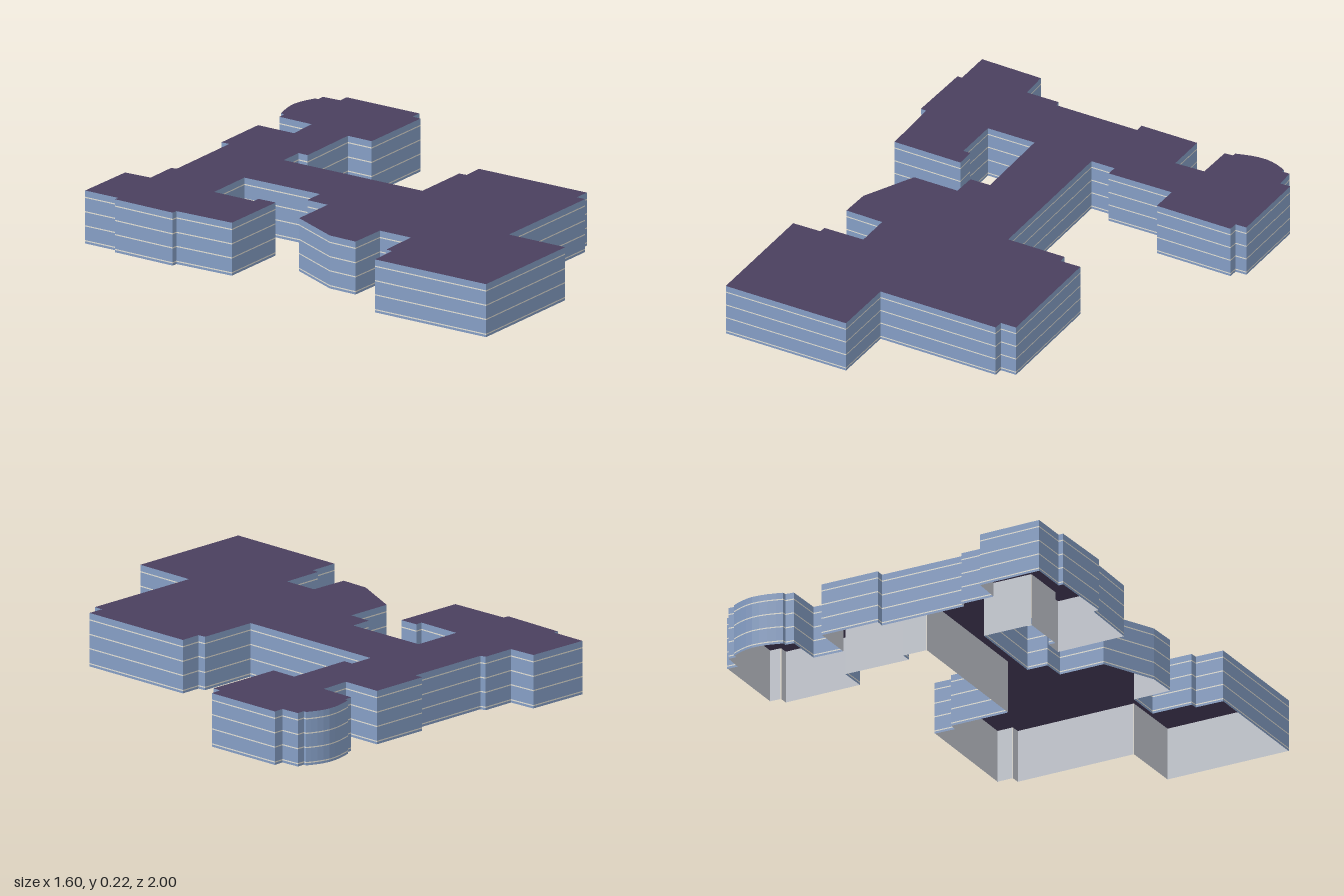
import * as THREE from 'three';

const HEIGHT = 0.225;

// Footprint corners as [x, z], clockwise seen from above
const bay = new THREE.SplineCurve([
  [0.451, -0.966], [0.514, -0.989], [0.578, -1], [0.636, -0.991], [0.681, -0.974],
].map(([x, z]) => new THREE.Vector2(x, z))).getPoints(8).map(p => [p.x, p.y]);

const outline = [
  // back side
  [-0.788, -0.984], [-0.513, -0.998], [-0.499, -0.878], [-0.354, -0.889], [-0.347, -0.865],
  [0.025, -0.892], [0.021, -0.929], [0.279, -0.947], [0.291, -0.772], [0.422, -0.786],
  [0.414, -0.944], [0.451, -0.95], ...bay, [0.681, -0.96], [0.716, -0.963],
  // left wing and link
  [0.726, -0.881], [0.771, -0.886], [0.797, -0.532], [0.748, -0.527], [0.75, -0.488],
  [0.408, -0.466], [0.401, -0.583], [0.112, -0.559], [0.11, -0.604], [0.004, -0.596],
  // front block
  [0.054, 0.077], [0.314, 0.059], [0.319, 0.093], [0.409, 0.085], [0.449, 0.607],
  [0.379, 0.612], [0.381, 0.652], [-0.153, 0.687], [-0.135, 0.962], [-0.692, 1],
  [-0.73, 0.459], [-0.606, 0.448], [-0.606, 0.418], [-0.428, 0.403], [-0.439, 0.252],
  [-0.606, 0.26], [-0.611, 0.132], [-0.52, -0.098], [-0.319, -0.112], [-0.324, -0.212],
  // right wing
  [-0.234, -0.22], [-0.264, -0.584], [-0.479, -0.568], [-0.466, -0.372], [-0.435, -0.375],
  [-0.427, -0.293], [-0.733, -0.274], [-0.759, -0.538], [-0.784, -0.538], [-0.798, -0.823],
  [-0.777, -0.823],
];

// Upright faces along the footprint between two heights; an inset turns them inward
function wallBand(y0, y1, inset = 0) {
  const pos = [];
  outline.forEach((p, i) => {
    const q = outline[(i + 1) % outline.length];
    const k = inset / Math.hypot(q[0] - p[0], q[1] - p[1]);
    const dx = (p[1] - q[1]) * k, dz = (q[0] - p[0]) * k;
    const [a, b] = inset ? [q, p] : [p, q];
    const corner = (c, y) => [c[0] + dx, y, c[1] + dz];
    pos.push(...corner(b, y0), ...corner(a, y0), ...corner(a, y1));
    pos.push(...corner(b, y0), ...corner(a, y1), ...corner(b, y1));
  });
  const geo = new THREE.BufferGeometry();
  geo.setAttribute('position', new THREE.Float32BufferAttribute(pos, 3));
  geo.computeVertexNormals();
  return geo;
}

function material(name, color, side = THREE.FrontSide) {
  const m = new THREE.MeshStandardMaterial({ color, side });
  m.name = name;
  return m;
}

export function createModel() {
  const group = new THREE.Group();
  group.name = 'building';
  const wallBlue = material('wallBlue', 0x859ec5);
  const trimCream = material('trimCream', 0xe2e0d6);
  const liningGrey = material('liningGrey', 0xc6cad2);
  const roofPurple = material('roofPurple', 0x4a3f5e, THREE.DoubleSide);

  const add = (name, geo, mat) => {
    const mesh = new THREE.Mesh(geo, mat);
    mesh.name = name;
    group.add(mesh);
  };

  // Blue storeys separated by thin pale floor lines
  const half = 0.0025;
  let y = 0;
  [0.012, 0.075, 0.135, 0.196].forEach((line, i) => {
    add('wallStorey' + i, wallBand(y, line - half), wallBlue);
    add('floorLine' + i, wallBand(line - half, line + half), trimCream);
    y = line + half;
  });
  add('wallTop', wallBand(y, HEIGHT), wallBlue);

  // Inside faces of the walls, open at the bottom
  add('wallLining', wallBand(0, HEIGHT, 0.002), liningGrey);

  // Flat roof
  const shape = new THREE.Shape(outline.map(([x, z]) => new THREE.Vector2(x, -z)));
  const roof = new THREE.ShapeGeometry(shape);
  roof.rotateX(-Math.PI / 2);
  roof.translate(0, HEIGHT, 0);
  add('roof', roof, roofPurple);

  return group;
}
